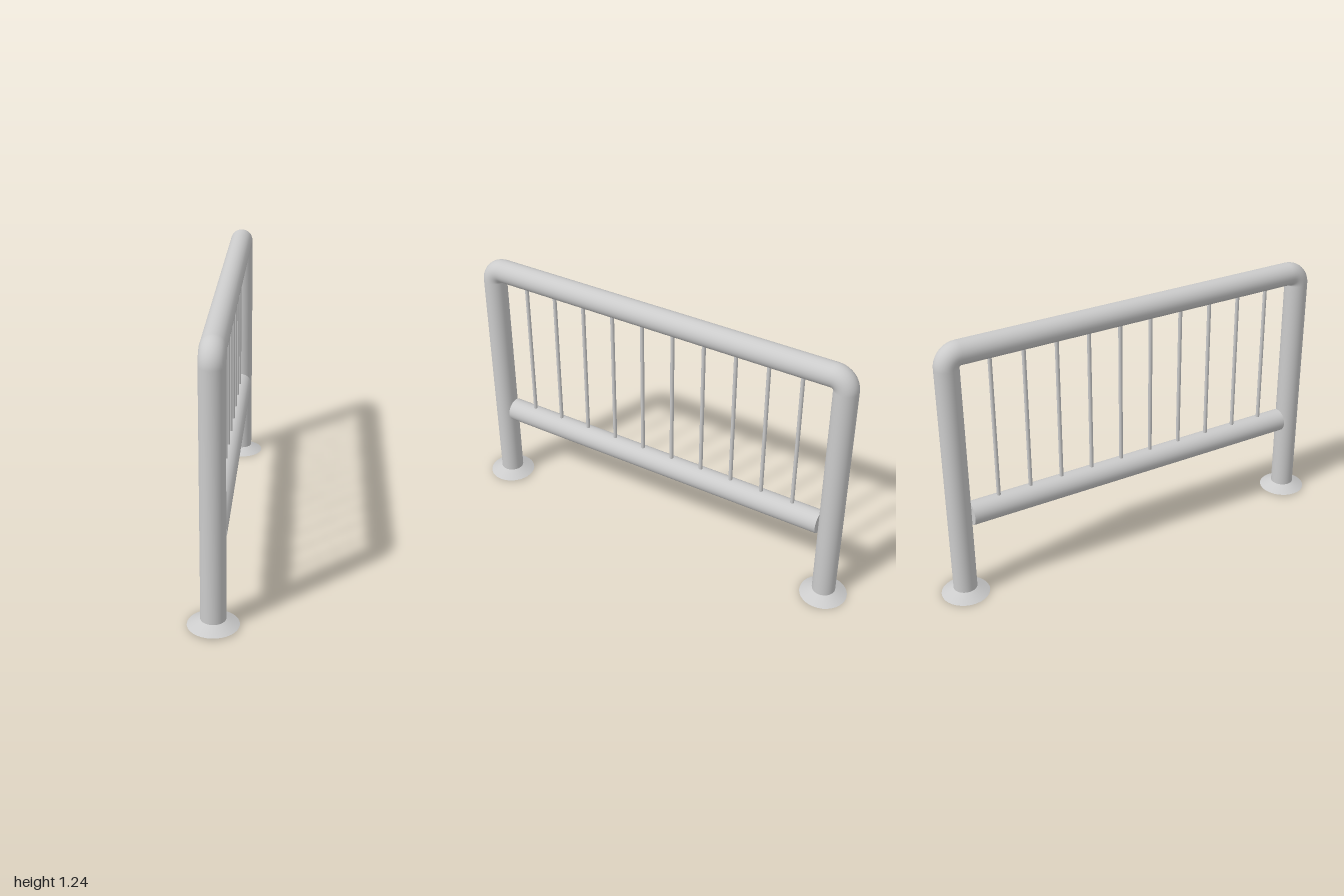
import * as THREE from 'three';

export function createModel() {
  const model = new THREE.Group();
  const material = new THREE.MeshStandardMaterial({ color: 0xcccccc });

  const tubeR = 0.054;   // radius of posts and rails
  const bendR = 0.056;   // centreline radius of the corner bends
  const postZ = 0.89;
  const topY = 1.19;     // centreline of the top rail
  const lowY = 0.405;    // centreline of the lower rail

  function add(name, geometry, x, y, z, parent = model) {
    const mesh = new THREE.Mesh(geometry, material);
    mesh.name = name;
    mesh.position.set(x, y, z);
    parent.add(mesh);
    return mesh;
  }

  // Horizontal rails along z
  function rail(name, length, y, open) {
    const geometry = new THREE.CylinderGeometry(tubeR, tubeR, length, 32, 1, open);
    geometry.rotateX(Math.PI / 2);
    add(name, geometry, 0, y, 0);
  }
  rail('topRail', 2 * (postZ - bendR), topY, true);
  rail('lowerRail', 1.674, lowY, false);

  // End posts, each with a rounded corner and a flared foot
  for (const side of [1, -1]) {
    const post = new THREE.Group();
    post.name = side > 0 ? 'frontPost' : 'backPost';
    model.add(post);

    const bottom = 0.03;
    const top = topY - bendR;
    add('upright', new THREE.CylinderGeometry(tubeR, tubeR, top - bottom, 32, 1, true),
      0, (top + bottom) / 2, side * postZ, post);

    const bend = new THREE.TorusGeometry(bendR, tubeR, 32, 10, Math.PI / 2);
    bend.rotateY(-side * Math.PI / 2);
    add('cornerBend', bend, 0, top, side * (postZ - bendR), post);

    const footY = side > 0 ? 0.006 : 0;
    add('foot', new THREE.CylinderGeometry(tubeR, 0.11, 0.028, 32),
      0, footY + 0.014, side * postZ, post);
  }

  // Thin balusters between the rails
  const balusters = new THREE.Group();
  balusters.name = 'balusters';
  model.add(balusters);
  const barGeometry = new THREE.CylinderGeometry(0.009, 0.009, topY - lowY, 12);
  for (let i = 0; i < 10; i++) {
    add('baluster', barGeometry, 0, (topY + lowY) / 2, 0.709 - i * 0.1563, balusters);
  }

  return model;
}
